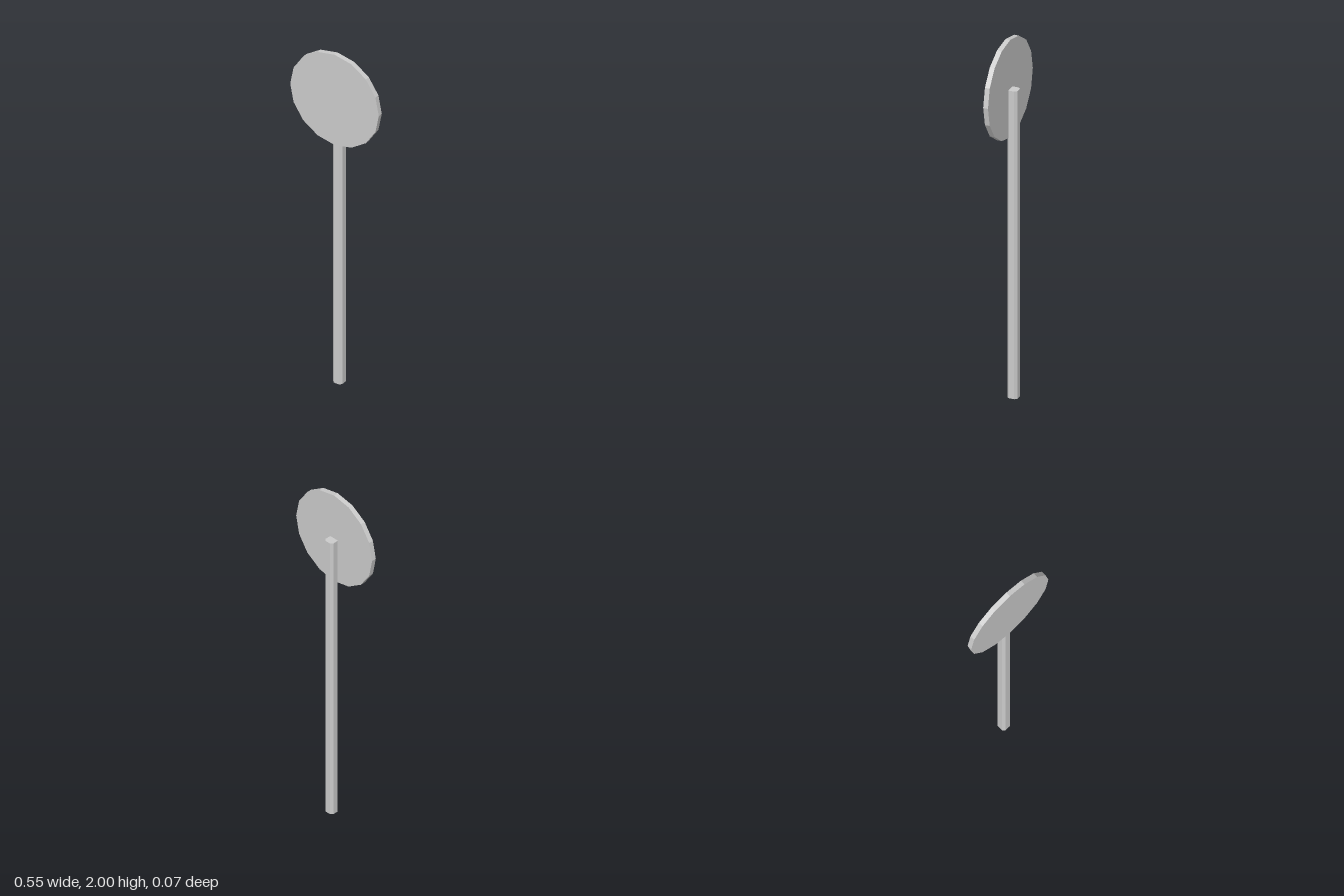
import * as THREE from 'three';

const material = new THREE.MeshStandardMaterial({ color: 0xcccccc, flatShading: true });

export function createModel() {
  const group = new THREE.Group();
  const discY = 1.727, discRadius = 0.273;

  // Round sign plate: 16-sided disc with a corner at the top
  const plateGeometry = new THREE.CylinderGeometry(discRadius, discRadius, 0.027, 16);
  plateGeometry.rotateX(Math.PI / 2);
  const plate = new THREE.Mesh(plateGeometry, material);
  plate.name = 'signPlate';
  plate.position.set(0, discY, 0.0225);
  group.add(plate);

  // Post: square with chamfered corners, ending behind the plate's centre
  const h = 0.028, c = 0.016;
  const outline = new THREE.Shape([
    [h, -c], [h, c], [c, h], [-c, h], [-h, c], [-h, -c], [-c, -h], [c, -h],
  ].map(([x, y]) => new THREE.Vector2(x, y)));
  const postGeometry = new THREE.ExtrudeGeometry(outline, { depth: discY, bevelEnabled: false });
  postGeometry.rotateX(-Math.PI / 2);
  const post = new THREE.Mesh(postGeometry, material);
  post.name = 'post';
  post.position.z = -0.009;
  group.add(post);

  return group;
}
